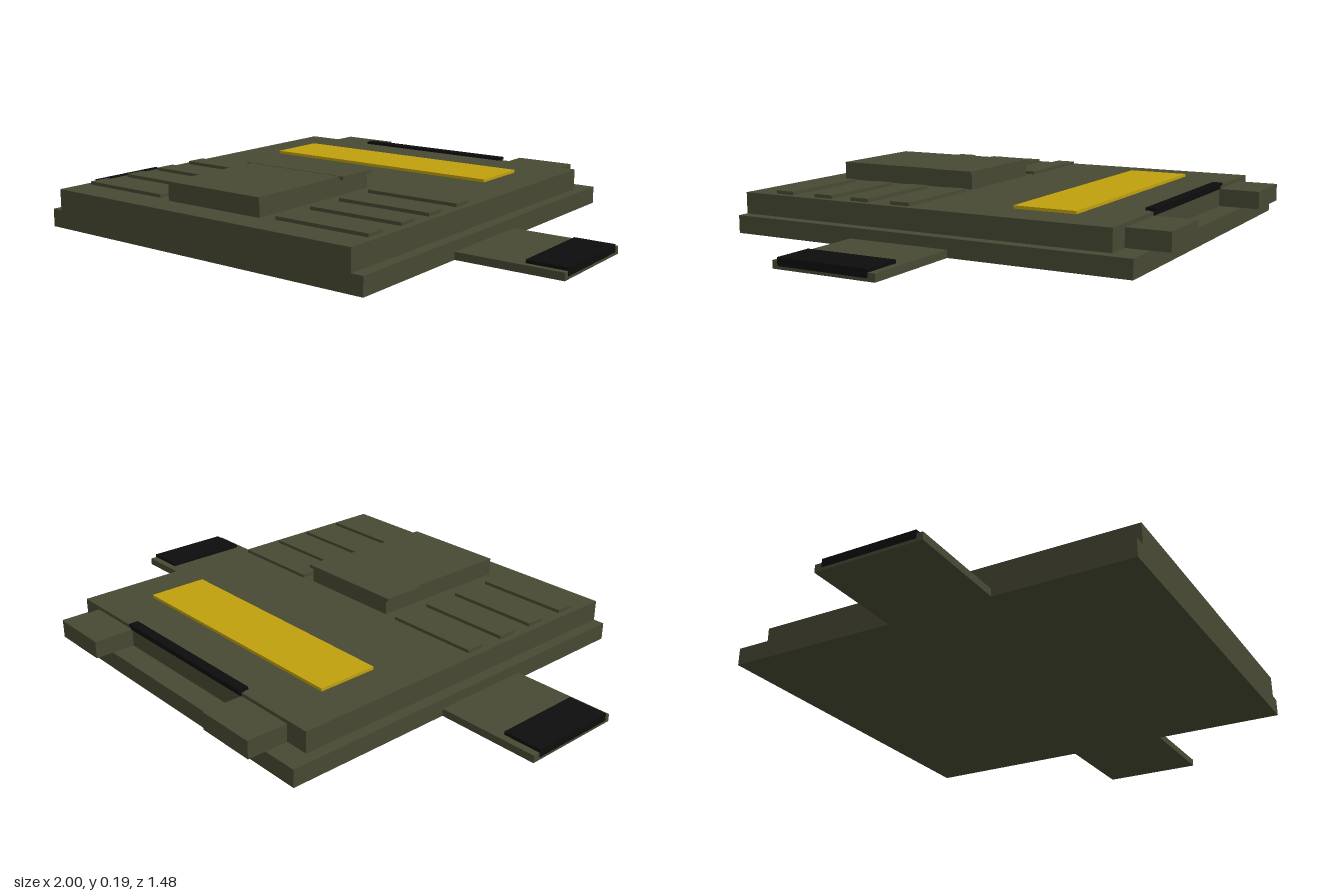
import * as THREE from 'three';

export function createModel() {
  const model = new THREE.Group();
  const material = (name, color) => {
    const m = new THREE.MeshStandardMaterial({ color });
    m.name = name;
    return m;
  };
  const olive = material('olive', 0x474933);
  const black = material('black', 0x0d0d0d);
  const yellow = material('yellow', 0xc0a00e);

  // Box given by its limits on each axis
  const box = (name, mat, [x0, x1], [y0, y1], [z0, z1]) => {
    const mesh = new THREE.Mesh(new THREE.BoxGeometry(x1 - x0, y1 - y0, z1 - z0), mat);
    mesh.position.set((x0 + x1) / 2, (y0 + y1) / 2, (z0 + z1) / 2);
    mesh.name = name;
    model.add(mesh);
  };
  // The same box on both sides
  const pair = (name, mat, [x0, x1], y, z) => {
    box(name + 'Left', mat, [x0, x1], y, z);
    box(name + 'Right', mat, [-x1, -x0], y, z);
  };

  // Stepped body
  box('basePlate', olive, [-0.64, 0.64], [0, 0.06], [-0.68, 0.74]);
  box('upperBody', olive, [-0.6, 0.6], [0.06, 0.132], [-0.6, 0.74]);

  // Side tabs with dark end pads
  pair('sideTab', olive, [0.64, 0.998], [0, 0.025], [-0.08, 0.28]);
  pair('tabPad', black, [0.865, 1], [0.025, 0.036], [-0.055, 0.26]);
  pair('tabPadEnd', black, [0.998, 1], [0.01, 0.025], [-0.055, 0.26]);

  // Rear lugs
  pair('rearLug', olive, [0.302, 0.516], [0.06, 0.12], [-0.742, -0.6]);

  // Label plate and rear handle bar on its thin stem
  box('labelPlate', yellow, [-0.456, 0.456], [0.132, 0.142], [-0.417, -0.203]);
  box('handleBar', black, [-0.304, 0.304], [0.134, 0.143], [-0.61, -0.575]);
  box('handleStem', black, [-0.304, 0.304], [0.12, 0.134], [-0.603, -0.59]);

  // Raised centre block with a slightly wider lip at its rear
  box('centreBlock', olive, [-0.19, 0.19], [0.132, 0.194], [0.107, 0.643]);
  box('centreLip', olive, [-0.205, 0.205], [0.184, 0.195], [0.102, 0.257]);

  // Grip ribs
  [0.135, 0.29, 0.435, 0.595].forEach((z, i) =>
    pair('gripRib' + (i + 1), olive, [0.241, 0.576], [0.132, 0.143], [z - 0.035, z + 0.035]));

  return model;
}
